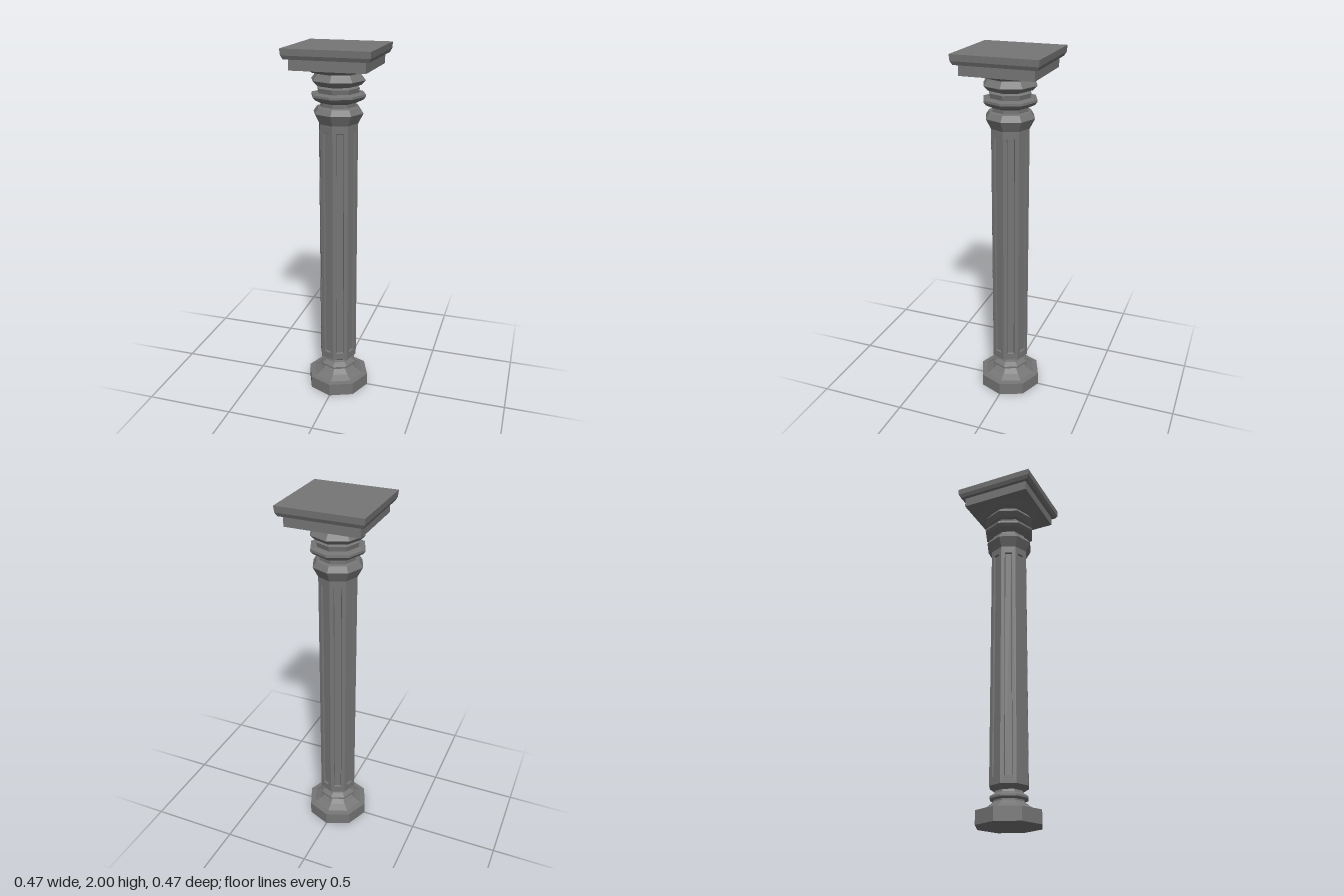
import * as THREE from 'three';

const SIDES = 8;
const material = new THREE.MeshStandardMaterial({ color: 0x757575, flatShading: true });

function part(name, geometry, y = 0) {
  const mesh = new THREE.Mesh(geometry, material);
  mesh.name = name;
  mesh.position.y = y;
  return mesh;
}

// Octagonal moulding turned from a bottom-to-top profile of [radius, height]
function moulding(name, profile) {
  const points = profile.map(([r, y]) => new THREE.Vector2(r, y));
  return part(name, new THREE.LatheGeometry(points, SIDES).toNonIndexed());
}

// Square block whose lower and upper edges may differ in width
function squareBlock(name, lowHalf, highHalf, y0, y1) {
  const geometry = new THREE.CylinderGeometry(
    highHalf * Math.SQRT2, lowHalf * Math.SQRT2, y1 - y0, 4, 1, false, Math.PI / 4);
  return part(name, geometry, (y0 + y1) / 2);
}

// One shaft side: face border, bevelled recess walls and sunken panel
function flutedSide(radius, y0, y1) {
  const half = radius * Math.sin(Math.PI / SIDES);
  const front = radius * Math.cos(Math.PI / SIDES);
  const rect = (w, low, high, z) => [[-w, low, z], [w, low, z], [w, high, z], [-w, high, z]];
  const loops = [
    rect(half, y0, y1, front),
    rect(0.021, 0.24, 1.56, front),
    rect(0.018, 0.244, 1.556, front - 0.01),
  ];
  const positions = [];
  const quad = (a, b, c, d) => positions.push(...a, ...b, ...c, ...a, ...c, ...d);
  for (let k = 0; k < 2; k++) {
    for (let i = 0; i < 4; i++) {
      const j = (i + 1) % 4;
      quad(loops[k][i], loops[k][j], loops[k + 1][j], loops[k + 1][i]);
    }
  }
  quad(...loops[2]);
  const geometry = new THREE.BufferGeometry();
  geometry.setAttribute('position', new THREE.Float32BufferAttribute(positions, 3));
  geometry.computeVertexNormals();
  return geometry;
}

export function createModel() {
  const column = new THREE.Group();
  column.name = 'column';

  // Plinth and base rings
  column.add(moulding('base', [
    [0, 0], [0.181, 0], [0.181, 0.073], [0.15, 0.076], [0.112, 0.098], [0.085, 0.122],
    [0.085, 0.13], [0.106, 0.137], [0.106, 0.147], [0.08, 0.165], [0.075, 0.178],
    [0.109, 0.2],
  ]));

  // Fluted shaft
  const shaft = new THREE.Group();
  shaft.name = 'shaft';
  const side = flutedSide(0.109, 0.2, 1.6);
  for (let i = 0; i < SIDES; i++) {
    const mesh = part('shaftSide', side);
    mesh.rotation.y = ((i + 0.5) / SIDES) * Math.PI * 2;
    shaft.add(mesh);
  }
  column.add(shaft);

  // Capital rings, flaring out beneath the square top
  column.add(moulding('capital', [
    [0.109, 1.6], [0.138, 1.655], [0.118, 1.685], [0.1, 1.69], [0.1, 1.71],
    [0.137, 1.728], [0.15, 1.743], [0.149, 1.755], [0.112, 1.762], [0.117, 1.787],
    [0.1, 1.795], [0.125, 1.803], [0.149, 1.827], [0.128, 1.853], [0.122, 1.862],
    [0.15, 1.869], [0.193, 1.89],
  ]));

  // Square blocks on top
  column.add(squareBlock('abacus', 0.2, 0.2, 1.89, 1.946));
  column.add(squareBlock('topSlabLower', 0.22, 0.23, 1.946, 1.966));
  column.add(squareBlock('topSlab', 0.23, 0.233, 1.966, 2));

  return column;
}
